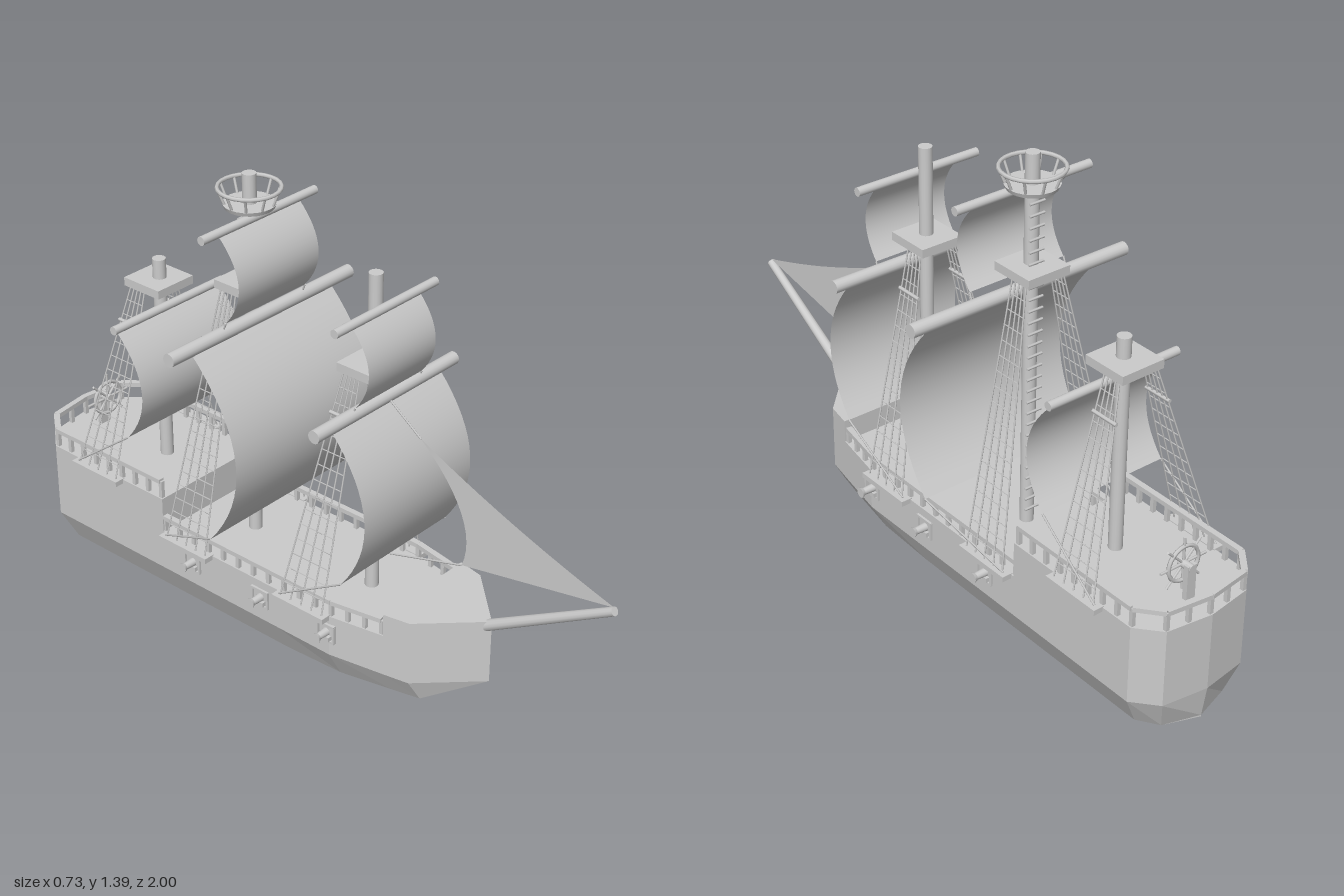
import * as THREE from 'three';

const smooth = new THREE.MeshStandardMaterial({ color: 0xcccccc, side: THREE.DoubleSide });
const flat = new THREE.MeshStandardMaterial({ color: 0xcccccc, flatShading: true });
const V = (x, y, z) => new THREE.Vector3(x, y, z);
const UP = V(0, 1, 0);

function group(parent, name) {
  const g = new THREE.Group();
  g.name = name;
  parent.add(g);
  return g;
}
function mesh(parent, name, geo, mat, x = 0, y = 0, z = 0) {
  const m = new THREE.Mesh(geo, mat);
  m.name = name;
  m.position.set(x, y, z);
  parent.add(m);
  return m;
}
// round bar between two points
function rod(parent, name, a, b, r, sides = 6, r2 = r) {
  const m = mesh(parent, name, new THREE.CylinderGeometry(r2, r, a.distanceTo(b), sides), smooth);
  m.position.copy(a).add(b).multiplyScalar(0.5);
  m.quaternion.setFromUnitVectors(UP, b.clone().sub(a).normalize());
  return m;
}
// square beam between two points
function beam(parent, name, a, b, w, h) {
  const m = mesh(parent, name, new THREE.BoxGeometry(w, h, a.distanceTo(b)), flat);
  m.position.copy(a).add(b).multiplyScalar(0.5);
  m.lookAt(b);
  return m;
}
const box = (p, name, w, h, d, x, y, z) => mesh(p, name, new THREE.BoxGeometry(w, h, d), flat, x, y, z);

// hull: cross-sections from bow to stern, joined in quads
function hull(root) {
  // z, half width, deck height, chine z, chine half width, chine height, keel height
  const stations = [
    [0.61, 0, 0.34, 0.61, 0, 0.14, 0.14],
    [0.45, 0.155, 0.34, 0.46, 0.115, 0.07, 0.04],
    [0.37, 0.17, 0.34, 0.37, 0.13, 0.065, 0.035],
    [0.37, 0.17, 0.27, 0.37, 0.13, 0.065, 0.035],
    [0.2, 0.2, 0.27, 0.2, 0.15, 0.05, 0.023],
    [0, 0.2, 0.27, 0, 0.15, 0.04, 0.01],
    [-0.45, 0.2, 0.27, -0.45, 0.15, 0.04, 0.008],
    [-0.45, 0.2, 0.38, -0.45, 0.15, 0.04, 0.008],
    [-0.91, 0.2, 0.38, -0.89, 0.15, 0.04, 0.005],
    [-0.98, 0.14, 0.38, -0.95, 0.11, 0.04, 0.01],
    [-1, 0, 0.38, -0.985, 0, 0.04, 0.035],
  ];
  const pos = [], idx = [];
  stations.forEach(([z, x, top, zc, xc, yc, yk], s) => {
    const half = [[x, top, z], [x, 0.14, z], [xc, yc, zc]];
    const loop = [...half, [0, yk, zc], ...half.map(([a, b, c]) => [-a, b, c]).reverse()];
    loop.forEach((p) => pos.push(...p));
    if (s === stations.length - 1) return;
    for (let j = 0; j < 7; j++) {
      const a = s * 7 + j, b = s * 7 + (j + 1) % 7;
      idx.push(a, b, b + 7, a, b + 7, a + 7);
    }
  });
  const geo = new THREE.BufferGeometry();
  geo.setAttribute('position', new THREE.Float32BufferAttribute(pos, 3));
  geo.setIndex(idx);
  const g = geo.toNonIndexed();
  g.computeVertexNormals();
  mesh(root, 'hull', g, flat);
}

// railing: top beam and posts along a path of [x, z]
function railing(root, name, path, deck, height) {
  const g = group(root, name);
  for (let i = 0; i < path.length - 1; i++) {
    const a = V(path[i][0], deck + height, path[i][1]);
    const b = V(path[i + 1][0], deck + height, path[i + 1][1]);
    beam(g, 'handrail', a, b, 0.018, 0.014);
    const n = Math.max(1, Math.round(a.distanceTo(b) / 0.058));
    for (let k = 0; k <= n; k++) {
      const p = a.clone().lerp(b, k / n);
      box(g, 'railPost', 0.012, height, 0.012, p.x, deck + height / 2, p.z);
    }
  }
}

// square sail: plane bent along its height
function sail(parent, name, w, yTop, yBot, zTop, zMid, zBot) {
  const geo = new THREE.PlaneGeometry(2 * w, yTop - yBot, 1, 16);
  const p = geo.attributes.position, c = 2 * zMid - (zTop + zBot) / 2;
  for (let i = 0; i < p.count; i++) {
    const t = 1 - geo.attributes.uv.getY(i);
    p.setZ(i, (1 - t) ** 2 * zTop + 2 * t * (1 - t) * c + t * t * zBot);
  }
  geo.computeVertexNormals();
  mesh(parent, name, geo, smooth, 0, (yTop + yBot) / 2, 0);
}

const yard = (p, y, z, half, r) => rod(p, 'yard', V(-half, y, z), V(half, y, z), r, 16);

// shrouds with ratlines on one side of a mast
function shrouds(parent, s, deck, top, zMast, platform) {
  const g = group(parent, s > 0 ? 'leftShrouds' : 'rightShrouds');
  const at = (u, t) => V(
    s * THREE.MathUtils.lerp(0.215, 0.062, t),
    THREE.MathUtils.lerp(deck, top, t),
    zMast - u * THREE.MathUtils.lerp(0.155, 0.055, t));
  for (let i = 0; i < 5; i++) rod(g, 'shroud', at(i / 4, 0), at(i / 4, 1), 0.0025, 5);
  const n = Math.round((top - deck) / 0.045);
  for (let k = 1; k < n; k++) rod(g, 'ratline', at(0, k / n), at(1, k / n), 0.002, 4);
  if (platform) {
    const t = (0.84 - deck) / (top - deck);
    rod(g, 'spreader', at(-0.1, t), at(1.1, t), 0.006, 6);
  }
  box(g, 'channel', 0.035, 0.016, 0.19, s * 0.212, deck - 0.005, zMast - 0.08);
}

function mast(root, o) {
  const g = group(root, o.name);
  rod(g, 'pole', V(0, o.deck - 0.01, o.z), V(0, o.top, o.z), 0.02, 16);
  box(g, 'platform', 0.14, 0.026, 0.14, 0, o.platform, o.z - 0.005);
  const [half, y, z, r] = o.yard;
  yard(g, y, z, half, r);
  sail(g, 'mainSail', ...o.sail);
  const [w, , yBot, , , zBot] = o.sail;
  for (const s of [1, -1]) {
    shrouds(g, s, o.deck, o.platform - 0.01, o.z, o.spreader);
    rod(g, 'sheet', V(s * w, yBot, zBot), V(s * 0.215, o.deck + 0.005, o.z - 0.16), 0.003, 5);
  }
  if (o.topYard) {
    yard(g, o.topYard[1], o.topYard[2], o.topYard[0], o.topYard[3]);
    sail(g, 'topSail', ...o.topSail);
    const t = o.topSail;
    for (const s of [1, -1]) rod(g, 'topSheet', V(s * t[0], t[2], t[5]), V(s * t[0], y, z), 0.003, 5);
  }
  return g;
}

// lookout basket
function crowsNest(parent, y, z) {
  const g = group(parent, 'crowsNest');
  g.position.set(0, y, z);
  mesh(g, 'basketFloor', new THREE.CylinderGeometry(0.075, 0.07, 0.012, 24), smooth);
  const ring = mesh(g, 'basketRail', new THREE.TorusGeometry(0.088, 0.006, 6, 24), smooth, 0, 0.05, 0);
  ring.rotation.x = Math.PI / 2;
  for (let i = 0; i < 10; i++) {
    const c = Math.cos(i * Math.PI / 5), s = Math.sin(i * Math.PI / 5);
    rod(g, 'basketPost', V(0.068 * c, 0, 0.068 * s), V(0.088 * c, 0.05, 0.088 * s), 0.004);
  }
}

// gun port frame with a cannon, on side s
function cannon(root, s, z) {
  const g = group(root, 'cannon');
  g.position.set(s * 0.2, 0.215, z);
  for (const k of [1, -1]) {
    box(g, 'portFrame', 0.014, 0.007, 0.064, 0, k * 0.026, 0);
    box(g, 'portFrame', 0.014, 0.052, 0.007, 0, 0, k * 0.029);
  }
  box(g, 'carriage', 0.024, 0.014, 0.036, 0, -0.016, 0);
  rod(g, 'barrel', V(-s * 0.02, 0, 0), V(s * 0.04, 0, 0), 0.014, 12, 0.01);
  rod(g, 'muzzle', V(s * 0.036, 0, 0), V(s * 0.046, 0, 0), 0.012, 12, 0.016);
}

function wheel(root) {
  const g = group(root, 'steeringWheel');
  g.position.set(0, 0.475, -0.885);
  mesh(g, 'rim', new THREE.TorusGeometry(0.052, 0.006, 6, 24), smooth);
  for (let i = 0; i < 8; i++) {
    const a = i * Math.PI / 4;
    rod(g, 'spoke', V(0, 0, 0), V(0.08 * Math.cos(a), 0.08 * Math.sin(a), 0), 0.004);
  }
  rod(g, 'axle', V(0, 0, -0.035), V(0, 0, 0.012), 0.012, 12);
  box(g, 'stand', 0.03, 0.11, 0.016, 0, -0.045, -0.025);
}

export function createModel() {
  const root = new THREE.Group();
  root.name = 'sailingShip';
  hull(root);

  // railings
  for (const s of [1, -1])
    railing(root, 'deckRail', [[s * 0.162, 0.36], [s * 0.19, 0.2], [s * 0.19, -0.45]], 0.27, 0.045);
  railing(root, 'sternRail', [[0.19, -0.46], [0.19, -0.905], [0.135, -0.972], [0, -0.99],
    [-0.135, -0.972], [-0.19, -0.905], [-0.19, -0.46]], 0.38, 0.055);

  // masts; sail = half width, top, bottom, z at top, middle and bottom
  mast(root, {
    name: 'foreMast', z: 0.185, deck: 0.27, top: 1.25, platform: 0.972, spreader: true,
    yard: [0.29, 0.895, 0.225, 0.019], sail: [0.225, 0.89, 0.42, 0.225, 0.345, 0.265],
    topYard: [0.205, 1.16, 0.22, 0.013], topSail: [0.137, 1.155, 0.92, 0.22, 0.28, 0.235],
  });
  const main = mast(root, {
    name: 'mainMast', z: -0.265, deck: 0.27, top: 1.4, platform: 1.07, spreader: false,
    yard: [0.365, 0.988, -0.225, 0.02], sail: [0.283, 0.98, 0.405, -0.225, -0.065, -0.17],
    topYard: [0.225, 1.287, -0.23, 0.013], topSail: [0.16, 1.28, 1.025, -0.23, -0.158, -0.21],
  });
  mast(root, {
    name: 'mizzenMast', z: -0.63, deck: 0.38, top: 1.03, platform: 0.957, spreader: true,
    yard: [0.22, 0.89, -0.598, 0.013], sail: [0.208, 0.885, 0.545, -0.598, -0.505, -0.573],
  });
  crowsNest(main, 1.308, -0.265);
  for (let i = 0; i < 28; i++) {
    const y = 0.32 + i * 0.035;
    rod(main, 'ladderRung', V(-0.025, y, -0.286), V(0.025, y, -0.286), 0.004, 5);
  }

  // bowsprit, triangular foresail and its lines
  rod(root, 'bowsprit', V(0, 0.29, 0.54), V(0, 0.555, 0.992), 0.017, 12, 0.013);
  const jib = new THREE.Shape();
  jib.moveTo(-0.99, 0.565);
  jib.quadraticCurveTo(-0.65, 0.665, -0.35, 0.81);
  jib.quadraticCurveTo(-0.56, 0.63, -0.5, 0.475);
  jib.closePath();
  mesh(root, 'jib', new THREE.ShapeGeometry(jib, 12), smooth).rotation.y = Math.PI / 2;
  rod(root, 'jibHalyard', V(0, 0.81, 0.35), V(0, 0.9, 0.225), 0.003, 5);
  rod(root, 'jibSheet', V(0, 0.475, 0.5), V(0, 0.385, 0.19), 0.003, 5);

  for (const s of [1, -1]) for (const z of [0.19, -0.06, -0.33]) cannon(root, s, z);
  wheel(root);
  return root;
}
